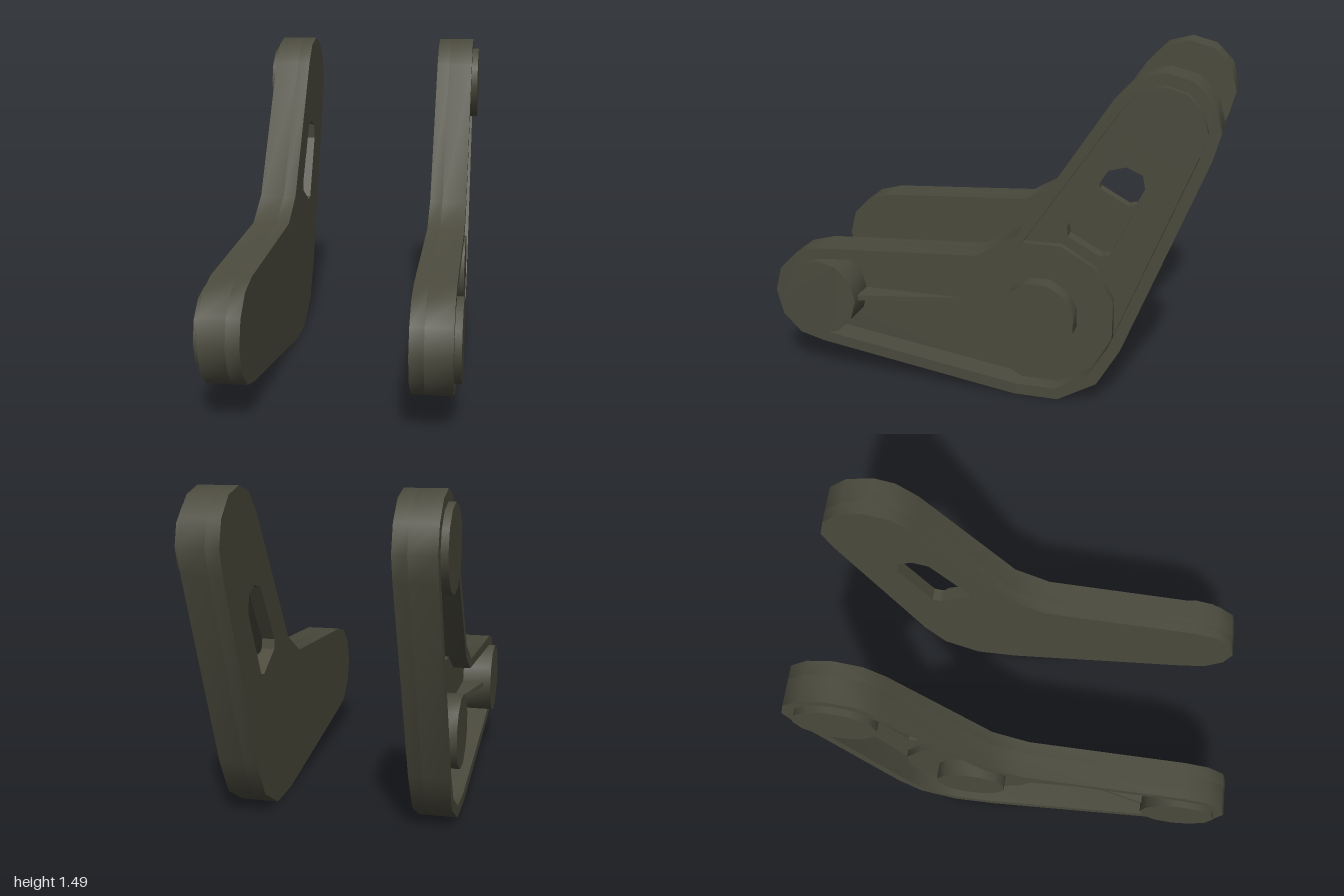
import * as THREE from 'three';
import { toCreasedNormals } from 'three/addons/utils/BufferGeometryUtils.js';

// Side profile: u runs towards the back (u = -z), y is up
const FRONT = [-0.77, 0.375], HUB = [0.255, 0.375], TOP = [0.77, 1.263];
// Distances of the layers from the centre plane
const INNER = 0.335, FLOOR = 0.395, HUB_FACE = 0.43, RIM = 0.51, CAP = 0.54;

// Points on an arc in 30 degree steps
function arc([u, y], r, from, to) {
  const pts = [];
  for (let a = from; a <= to; a += 30) {
    const t = THREE.MathUtils.degToRad(a);
    pts.push(new THREE.Vector2(u + r * Math.cos(t), y + r * Math.sin(t)));
  }
  return pts;
}

// Bent arm outline wrapped round both ends and the hub
const outline = (rEnd, rHub) => [
  ...arc(FRONT, rEnd, 90, 270),
  ...arc(HUB, rHub, -105, -15),
  ...arc(TOP, rEnd, -30, 150),
  ...arc(HUB, rHub, 105, 135),
];

const SLOT = [
  [0.36, 0.78], [0.365, 0.735], [0.51, 0.655], [0.55, 0.665],
  [0.695, 0.96], [0.68, 1.035], [0.61, 1.065], [0.535, 1.045],
].map(([u, y]) => new THREE.Vector2(u, y));

export function createModel() {
  const olive = new THREE.MeshStandardMaterial({ color: 0x4b4a3d });
  olive.name = 'dark olive';
  const model = new THREE.Group();
  model.name = 'armPair';

  // Extrude a profile sideways between two distances from the centre plane
  function layer(name, points, near, far, side, hole) {
    const shape = new THREE.Shape(points);
    if (hole) shape.holes.push(new THREE.Path(hole));
    const geo = new THREE.ExtrudeGeometry(shape, { depth: far - near, bevelEnabled: false });
    geo.rotateY(Math.PI / 2);
    geo.translate(side > 0 ? near : -far, 0, 0);
    const mesh = new THREE.Mesh(toCreasedNormals(geo, 0.6), olive);
    mesh.name = name;
    return mesh;
  }

  // Wedge rib: tall at the front cap, falling to the floor near the hub
  function rib(side) {
    const height = RIM - FLOOR;
    const geo = new THREE.BoxGeometry(height, 0.024, 0.5);
    const pos = geo.attributes.position;
    for (let i = 0; i < pos.count; i++) {
      if (pos.getZ(i) < 0 && pos.getX(i) * side > 0) pos.setX(i, side * (0.004 - height / 2));
    }
    geo.computeVertexNormals();
    geo.translate(side * (FLOOR + height / 2), 0.378, 0.38);
    const mesh = new THREE.Mesh(geo, olive);
    mesh.name = 'rib';
    return mesh;
  }

  for (const side of [1, -1]) {
    const arm = new THREE.Group();
    arm.name = side > 0 ? 'leftArm' : 'rightArm';
    const outer = outline(0.23, 0.386), recess = outline(0.18, 0.334);
    arm.add(
      layer('backPlate', outer, INNER, FLOOR, side, SLOT),
      layer('rim', outer, FLOOR, RIM, side, recess),
      layer('hubDisc', arc(HUB, 0.334, 15, 345), FLOOR, HUB_FACE, side),
      layer('hubBoss', arc(HUB, 0.17, 15, 345), HUB_FACE, RIM, side),
      layer('frontCap', arc(FRONT, 0.18, 0, 330), FLOOR, CAP, side),
      layer('topCap', arc(TOP, 0.18, 0, 330), FLOOR, CAP, side),
      rib(side),
    );
    model.add(arm);
  }
  return model;
}
